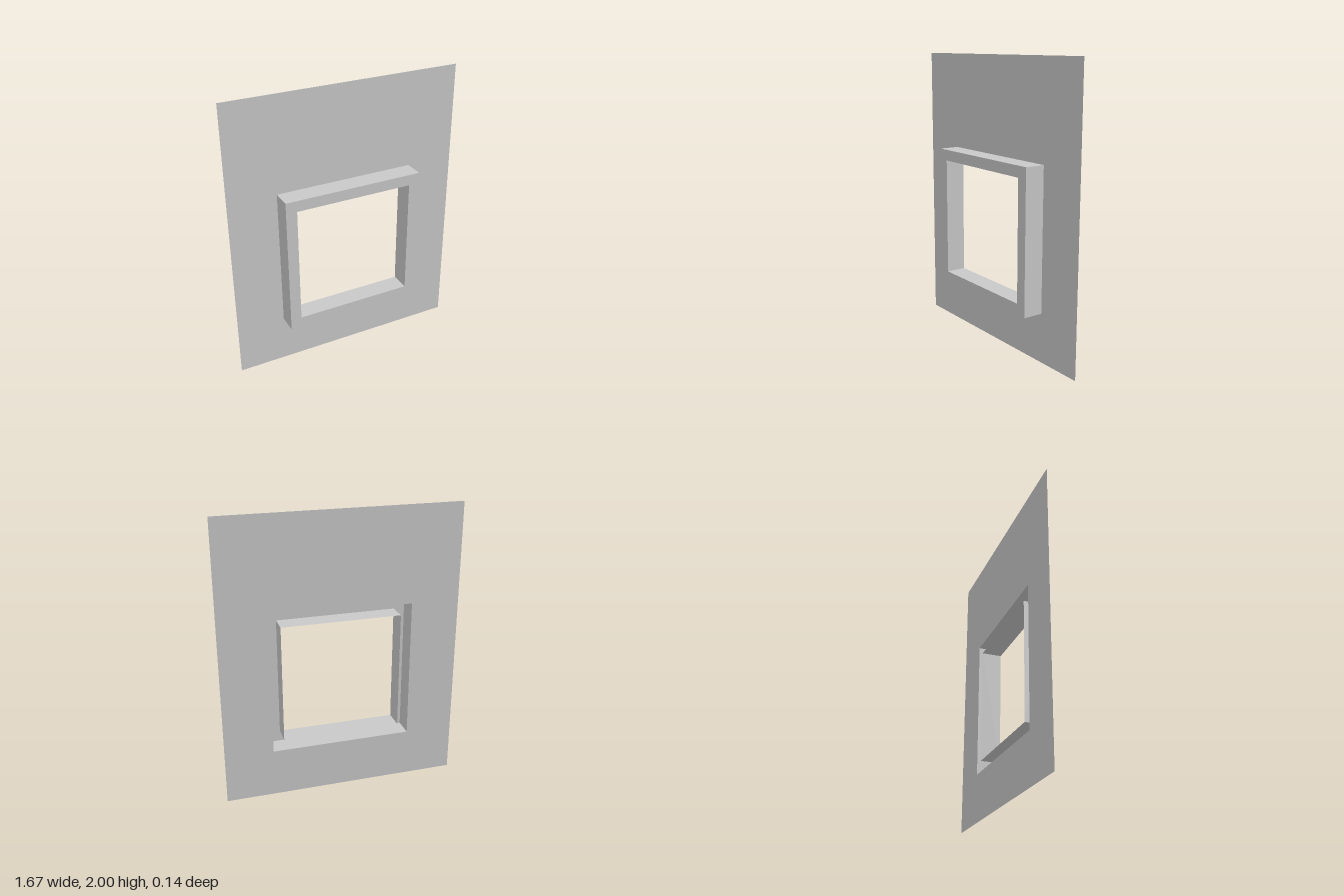
import * as THREE from 'three';

// Main dimensions
const WALL_HALF = 0.833, WALL_TOP = 2;
const CENTRE_Y = 0.835;
const OUTER = 0.493, INNER = 0.416; // half sizes of the frame
const DEPTH = 0.142;

// Flat sheet with a square hole, facing +z
function holedSheet(left, bottom, right, top, hole) {
  const shape = new THREE.Shape([
    new THREE.Vector2(left, bottom), new THREE.Vector2(right, bottom),
    new THREE.Vector2(right, top), new THREE.Vector2(left, top),
  ]);
  shape.holes.push(new THREE.Path([
    new THREE.Vector2(-hole, CENTRE_Y - hole), new THREE.Vector2(-hole, CENTRE_Y + hole),
    new THREE.Vector2(hole, CENTRE_Y + hole), new THREE.Vector2(hole, CENTRE_Y - hole),
  ]));
  return new THREE.ShapeGeometry(shape);
}

export function createModel() {
  const model = new THREE.Group();
  model.name = 'wallWithWindowFrame';
  const plaster = new THREE.MeshStandardMaterial({ color: 0xc8c8c8, side: THREE.DoubleSide });
  plaster.name = 'plainGrey';

  const add = (parent, name, geometry) => {
    const mesh = new THREE.Mesh(geometry, plaster);
    mesh.name = name;
    parent.add(mesh);
    return mesh;
  };

  // Thin wall at the back, cut out to the outer size of the frame
  add(model, 'wall', holedSheet(-WALL_HALF, 0, WALL_HALF, WALL_TOP, OUTER)).position.z = -DEPTH / 2;

  // Hollow frame, open at the back
  const frame = new THREE.Group();
  frame.name = 'windowFrame';
  model.add(frame);
  add(frame, 'frameFront',
    holedSheet(-OUTER, CENTRE_Y - OUTER, OUTER, CENTRE_Y + OUTER, INNER)).position.z = DEPTH / 2;

  // Four thin sides for each of the outer and inner rings
  for (const [ring, half, direction] of [['outer', OUTER, 1], ['inner', INNER, -1]]) {
    ['Top', 'Left', 'Bottom', 'Right'].forEach((side, i) => {
      const sheet = new THREE.PlaneGeometry(2 * half, DEPTH);
      sheet.rotateX(-direction * Math.PI / 2);
      sheet.translate(0, half, 0);
      sheet.rotateZ(-i * Math.PI / 2);
      add(frame, ring + side, sheet).position.y = CENTRE_Y;
    });
  }
  return model;
}
